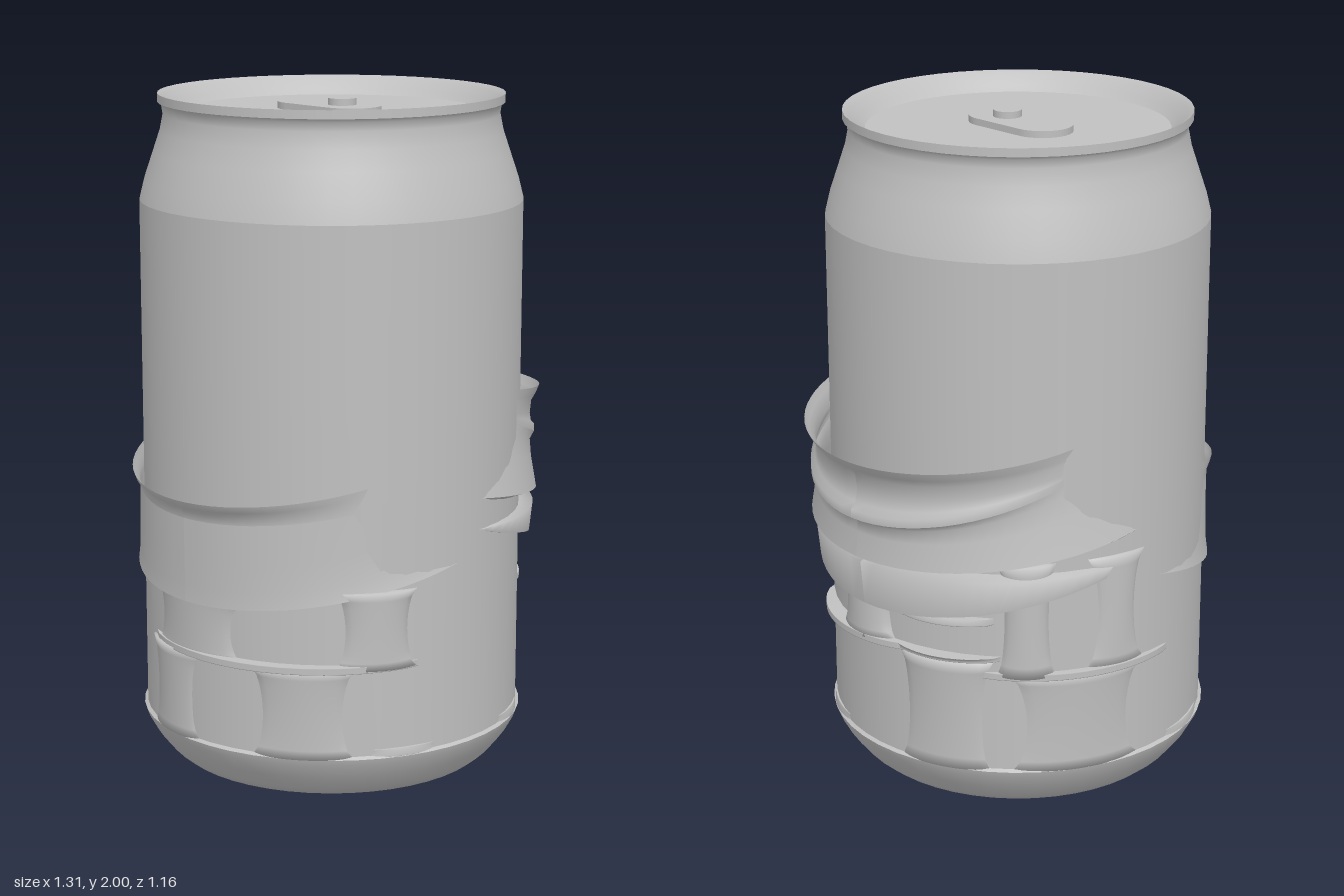
import * as THREE from 'three';

const CX = -0.027, RC = 0.567;

// Grid of points p(u, v) turned into a smooth open surface
function grid(nu, nv, p) {
  const pos = [], idx = [];
  for (let j = 0; j <= nv; j++)
    for (let i = 0; i <= nu; i++) pos.push(...p(i / nu, j));
  for (let j = 0; j < nv; j++)
    for (let i = 0; i < nu; i++) {
      const a = j * (nu + 1) + i, b = a + nu + 1;
      idx.push(a, a + 1, b, a + 1, b + 1, b);
    }
  const g = new THREE.BufferGeometry();
  g.setAttribute('position', new THREE.Float32BufferAttribute(pos, 3));
  g.setIndex(idx);
  g.computeVertexNormals();
  return g;
}

// Tilted rings leaning out of one side: [outermost x, radius, y there, slope]
function sleeve(side, rows) {
  return grid(72, rows.length - 1, (u, j) => {
    const [X, R, Y, k] = rows[j];
    const a = -side * u * Math.PI * 2;
    const x = X - R + R * Math.cos(a);
    return [side * x, Y + k * (X - x), R * Math.sin(a)];
  });
}

// Crumpled strip on the can wall; narrower at mid height when waist > 0
function strip(a0, a1, y0, y1, out0, out1, waist) {
  const n = 10, mid = (a0 + a1) / 2, half = (a0 - a1) / 2;
  return grid(16, n + 2, (u, j) => {
    const end = j === 0 || j === n + 2;
    const v = THREE.MathUtils.clamp((j - 1) / n, 0, 1);
    const w = 1 - waist * Math.pow(Math.sin(v * Math.PI), 0.5);
    const a = THREE.MathUtils.degToRad(mid + half * w * (1 - 2 * u));
    const out = THREE.MathUtils.lerp(out0, out1, v * v);
    const r = end ? RC - 0.03 : RC - 0.006 + (out + 0.006) * Math.pow(Math.sin(u * Math.PI), 0.6);
    return [CX + r * Math.cos(a), y0 + (y1 - y0) * v, r * Math.sin(a)];
  });
}

export function createModel() {
  const model = new THREE.Group();
  const grey = new THREE.MeshStandardMaterial({ color: 0xc0c0c0, side: THREE.DoubleSide });
  grey.name = 'grey metal';
  const add = (name, geometry, x = 0, y = 0, z = 0) => {
    const m = new THREE.Mesh(geometry, grey);
    m.name = name;
    m.position.set(x, y, z);
    model.add(m);
    return m;
  };
  const lathe = (name, pts) =>
    add(name, new THREE.LatheGeometry(pts.map(p => new THREE.Vector2(...p)), 48), CX);

  // Can
  lathe('domedBase', [[0, 0.13], [0.15, 0.122], [0.28, 0.1], [0.38, 0.06], [0.44, 0]]);
  lathe('baseCurve', [[0.44, 0], [0.475, 0], [0.505, 0.025], [0.545, 0.075], [0.57, 0.12], [0.577, 0.14]]);
  lathe('baseLip', [[0.577, 0.14], [RC, 0.147]]);
  lathe('wall', [[RC, 0.147], [RC, 0.9], [RC, 1.69]]);
  lathe('neck', [[RC, 1.69], [0.552, 1.75], [0.525, 1.83], [0.505, 1.89], [0.495, 1.94], [0.499, 1.965], [0.51, 1.975]]);
  lathe('rimEdge', [[0.51, 1.975], [0.51, 2]]);
  lathe('rimInside', [[0.51, 2], [0.49, 1.988], [0.465, 1.962], [0.445, 1.945]]);
  lathe('lid', [[0.445, 1.945], [0, 1.945]]);

  // Opening tab
  const tab = new THREE.Shape();
  tab.absarc(0, 0.09, 0.09, 0, Math.PI);
  tab.absarc(0, -0.09, 0.09, Math.PI, Math.PI * 2);
  add('tab', new THREE.ExtrudeGeometry(tab, { depth: 0.02, bevelEnabled: false, curveSegments: 16 }),
    CX, 1.945, -0.01).rotation.x = -Math.PI / 2;
  add('rivet', new THREE.CylinderGeometry(0.042, 0.042, 0.02, 24), CX, 1.975, 0.045);

  // Crushed sleeve, left side: two rims, a flared wall and a lower band
  add('leftRims', sleeve(1, [
    [0.655, 0.51, 1.08, 0.15], [0.64, 0.507, 1.055, 0.15], [0.617, 0.514, 1.03, 0.19],
    [0.61, 0.516, 0.98, 0.25], [0.618, 0.512, 0.945, 0.3], [0.636, 0.506, 0.925, 0.34], [0.636, 0.506, 0.9, 0.35],
  ]));
  add('leftWall', sleeve(1, [
    [0.636, 0.506, 0.9, 0.35], [0.612, 0.516, 0.885, 0.33],
    [0.612, 0.53, 0.85, 0.24], [0.62, 0.564, 0.775, 0.15],
  ]));
  add('leftWallUnderside', sleeve(1, [[0.62, 0.564, 0.775, 0.15], [0.54, 0.54, 0.77, 0.14]]));
  add('leftBand', sleeve(1, [[0.54, 0.54, 0.765, 0.03], [0.605, 0.565, 0.755, 0.03], [0.592, 0.562, 0.62, 0.26]]));
  add('leftBandUnderside', sleeve(1, [[0.592, 0.562, 0.62, 0.26], [0.52, 0.53, 0.63, 0.26]]));

  // Crushed sleeve, right side
  add('rightRim', sleeve(-1, [
    [0.655, 0.51, 0.88, 0.2], [0.645, 0.513, 0.86, 0.2], [0.625, 0.528, 0.845, 0.2], [0.62, 0.533, 0.82, 0.2],
  ]));
  add('rightWall', sleeve(-1, [
    [0.62, 0.533, 0.82, 0.2], [0.62, 0.537, 0.7, 0.2], [0.618, 0.548, 0.62, 0.21], [0.62, 0.565, 0.57, 0.22],
  ]));
  add('rightWallUnderside', sleeve(-1, [[0.62, 0.565, 0.57, 0.22], [0.53, 0.5, 0.57, 0.22]]));

  // Upright folds: angles, heights, outward bulge at bottom and top, waist
  const folds = [
    [-8, -40, 0.14, 0.49, 0.012, 0.03, 0.2], [-42, -88, 0.14, 0.45, 0.01, 0.022, 0.25],
    [18, -8, 0.5, 0.78, 0.045, 0.05, 0.25], [-40, -58, 0.45, 0.8, 0.03, 0.03, 0.25],
    [-66, -88, 0.45, 0.8, 0.015, 0.012, 0.4],
    [160, 126, 0.14, 0.41, 0.012, 0.025, 0.25], [134, 108, 0.41, 0.64, 0.025, 0.03, 0.25],
    [204, 176, 0.14, 0.41, 0.012, 0.022, 0.25], [200, 160, 0.41, 0.59, 0.02, 0.025, 0.2],
  ];
  folds.forEach(f => add('uprightFold', strip(...f)));

  // Thin creased ledges
  const ledges = [
    [40, -14, 0.49, 0.51, 0.05, 0.05], [-6, -42, 0.495, 0.51, 0.035, 0.045],
    [-6, -40, 0.61, 0.63, 0.04, 0.035], [-32, -100, 0.44, 0.46, 0.024, 0.024],
    [203, 106, 0.405, 0.425, 0.035, 0.035],
  ];
  ledges.forEach(l => add('ledge', strip(...l, 0)));

  // Small ragged lips above the base
  [[75, 50], [45, 15], [125, 100], [-95, -125]].forEach(([a, b]) =>
    add('baseTear', strip(a, b, 0.14, 0.165, 0.008, 0.004, 0.1)));

  return model;
}
